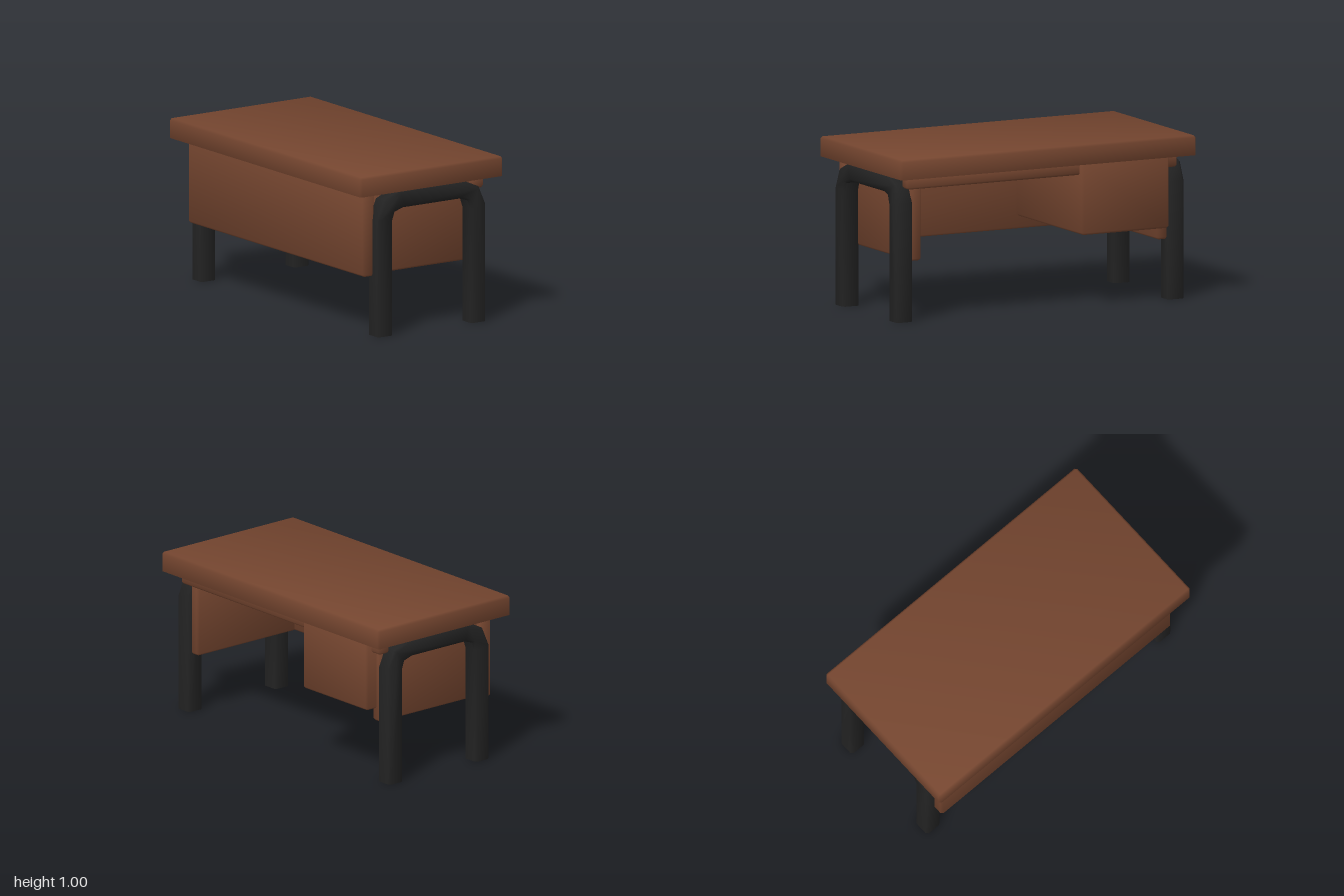
import * as THREE from 'three';
import { toCreasedNormals } from 'three/addons/utils/BufferGeometryUtils.js';
import { ConvexGeometry } from 'three/addons/geometries/ConvexGeometry.js';

const wood = new THREE.MeshStandardMaterial({ color: 0x74452f });
wood.name = 'brown wood';
const metal = new THREE.MeshStandardMaterial({ color: 0x222222 });
metal.name = 'black metal';

// Chamfered box between two corners, with softly shaded faces
function chamferBox(name, min, max, c = 0.013, sharpBottom = false) {
  const half = min.map((v, i) => (max[i] - v) / 2);
  const points = [];
  for (const sx of [-1, 1]) for (const sy of [-1, 1]) for (const sz of [-1, 1]) {
    const sharp = sharpBottom && sy < 0;
    for (let axis = 0; axis < 3; axis++) {
      if (sharp && axis === 1) continue;
      const p = [sx, sy, sz].map((s, i) => s * (half[i] - (i === axis || (sharp && i === 1) ? 0 : c)));
      points.push(new THREE.Vector3(...p));
    }
  }
  const geo = new ConvexGeometry(points);
  const pos = geo.attributes.position, nor = geo.attributes.normal;
  const n = new THREE.Vector3();
  for (let i = 0; i < pos.count; i++) {
    if (sharpBottom && nor.getY(i) < -0.99) continue;
    const p = [pos.getX(i), pos.getY(i), pos.getZ(i)];
    const order = sharpBottom && p[1] < 0 ? [0, 2] : [0, 1, 2];
    const main = order.find(k => Math.abs(Math.abs(p[k]) - half[k]) < 1e-4);
    n.set(...p.map((v, k) => Math.sign(v) * (k === main ? 1 : 0.3))).normalize();
    nor.setXYZ(i, n.x, n.y, n.z);
  }
  const mesh = new THREE.Mesh(geo, wood);
  mesh.name = name;
  mesh.position.set(...min.map((v, i) => (v + max[i]) / 2));
  return mesh;
}

// Bent square-tube leg frame, extruded across its width
function legFrame(name, x) {
  const b = 0.014, width = 0.11;
  const outer = [[0.395, -b], [0.395, 0.715], [0.345, 0.83], [0.23, 0.88]];
  const inner = [[0.208, 0.772], [0.268, 0.752], [0.285, 0.70], [0.285, -b]];
  const mirror = list => list.map(([u, v]) => [-u, v]).reverse();
  const outline = [...outer, ...mirror(outer), ...mirror(inner), ...inner];
  const shape = new THREE.Shape(outline.map(([u, v]) => new THREE.Vector2(u, v)));
  let geo = new THREE.ExtrudeGeometry(shape, {
    depth: width - 2 * b, bevelEnabled: true, bevelThickness: b,
    bevelSize: b, bevelOffset: -b, bevelSegments: 1,
  });
  geo.translate(0, 0, -(width - 2 * b) / 2);
  geo.rotateY(Math.PI / 2);
  // Flatten the feet onto the floor
  const pos = geo.attributes.position;
  for (let i = 0; i < pos.count; i++) pos.setY(i, Math.max(0, pos.getY(i)));
  geo = toCreasedNormals(geo, 0.9);
  const mesh = new THREE.Mesh(geo, metal);
  mesh.name = name;
  mesh.position.set(x, 0, -0.02);
  return mesh;
}

export function createModel() {
  const desk = new THREE.Group();
  desk.name = 'desk';

  desk.add(chamferBox('deskTop', [-1, 0.88, -0.52], [1, 1, 0.52], 0.013, true));
  desk.add(chamferBox('frontPanel', [-0.915, 0.365, 0.36], [0.915, 0.885, 0.44]));
  desk.add(chamferBox('backRail', [-0.915, 0.805, -0.44], [0.915, 0.885, -0.36]));
  desk.add(chamferBox('drawerBox', [-0.84, 0.445, -0.477], [-0.25, 0.89, 0.37]));

  // Side panels and leg frames
  for (const [side, s] of [['left', 1], ['right', -1]]) {
    const x = 0.835 * s;
    desk.add(chamferBox(side + 'SidePanel', [x - 0.035, 0.365, -0.4], [x + 0.035, 0.885, 0.38]));
    desk.add(legFrame(side + 'LegFrame', 0.92 * s));
  }
  return desk;
}
